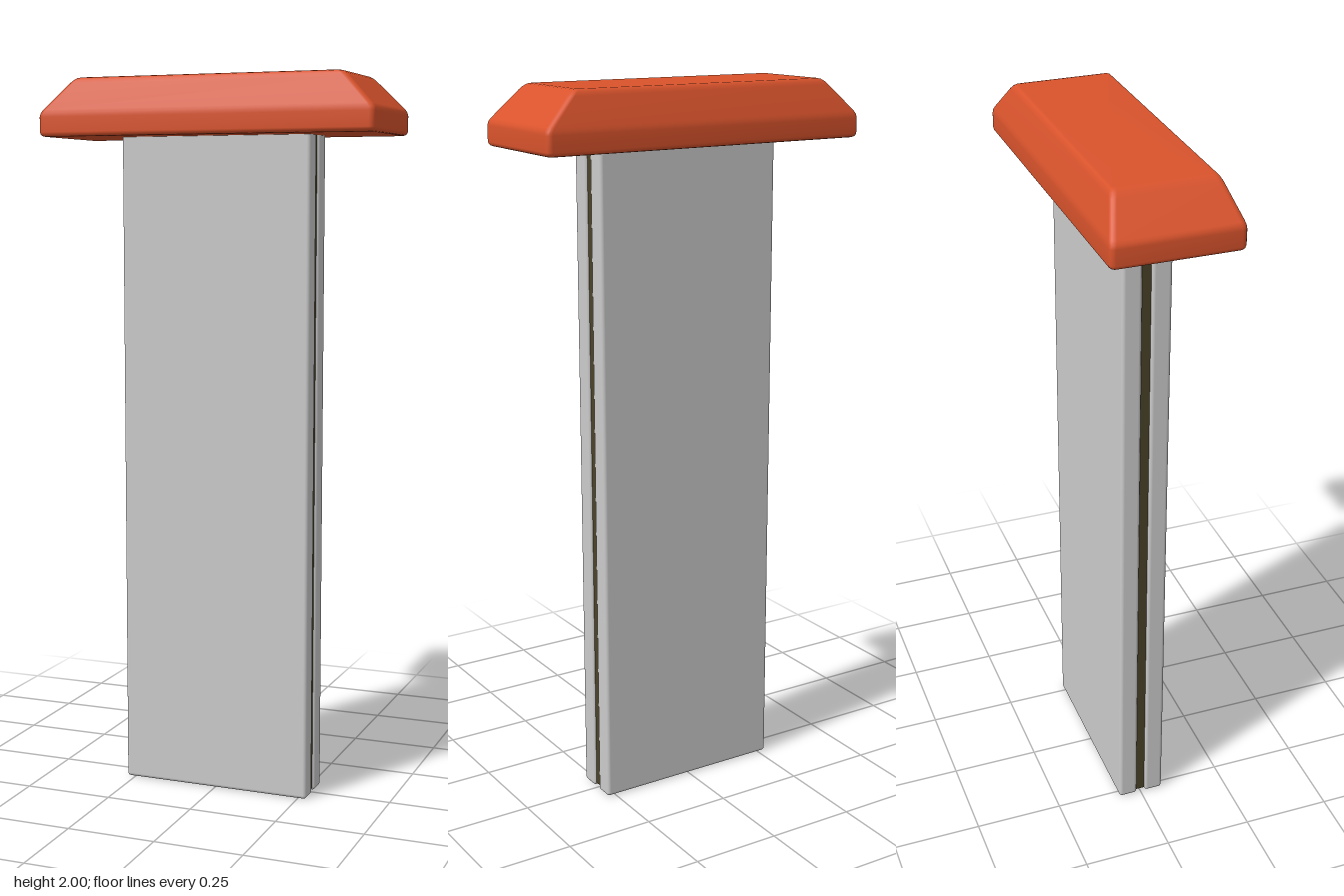
import * as THREE from 'three';
import { RoundedBoxGeometry } from 'three/addons/geometries/RoundedBoxGeometry.js';

// Closed solid lofted through rounded rectangles: [y, halfX, halfZ, cornerRadius]
function loftRoundedRects(sections, cornerSteps = 4) {
  const positions = [], index = [];
  const n = 4 * (cornerSteps + 1);
  for (const [y, hx, hz, r] of sections) {
    for (let c = 0; c < 4; c++) {
      const sx = c === 0 || c === 3 ? 1 : -1, sz = c < 2 ? 1 : -1;
      for (let k = 0; k <= cornerSteps; k++) {
        const a = (c + k / cornerSteps) * Math.PI / 2;
        positions.push(sx * (hx - r) + r * Math.cos(a), y, sz * (hz - r) + r * Math.sin(a));
      }
    }
  }
  for (let i = 0; i < sections.length - 1; i++) {
    for (let j = 0; j < n; j++) {
      const a = i * n + j, b = i * n + (j + 1) % n;
      index.push(a, a + n, b, b, a + n, b + n);
    }
  }
  // Flat ends
  const last = (sections.length - 1) * n, bottom = sections.length * n, top = bottom + 1;
  positions.push(0, sections[0][0], 0, 0, sections[sections.length - 1][0], 0);
  for (let j = 0; j < n; j++) {
    const k = (j + 1) % n;
    index.push(bottom, j, k, top, last + k, last + j);
  }
  const geometry = new THREE.BufferGeometry();
  geometry.setAttribute('position', new THREE.Float32BufferAttribute(positions, 3));
  geometry.setIndex(index);
  geometry.computeVertexNormals();
  return geometry;
}

export function createModel() {
  const model = new THREE.Group();
  model.name = 'cappedPost';
  const grey = new THREE.MeshStandardMaterial({ color: 0xcccccc });
  const orange = new THREE.MeshStandardMaterial({ color: 0xd9532c });
  const dark = new THREE.MeshStandardMaterial({ color: 0x4a4228 });

  const add = (name, geometry, material, y = 0, z = 0) => {
    const mesh = new THREE.Mesh(geometry, material);
    mesh.name = name;
    mesh.position.set(0, y, z);
    model.add(mesh);
  };

  // Two soft-edged plates with a thin core between them
  const height = 1.85, thickness = 0.055;
  for (const [name, side] of [['frontPlate', 1], ['backPlate', -1]]) {
    add(name, new RoundedBoxGeometry(0.55, height, thickness, 3, 0.01), grey, height / 2, side * 0.0395);
  }
  add('core', new THREE.BoxGeometry(0.535, height - 0.008, 0.028), dark, height / 2 + 0.004);

  // Cap with short upright walls, sloping shoulders and a flat top
  add('cap', loftRoundedRects([
    [1.84, 0.468, 0.160, 0.008],
    [1.842, 0.474, 0.166, 0.011],
    [1.846, 0.478, 0.170, 0.014],
    [1.852, 0.48, 0.172, 0.015],
    [1.893, 0.48, 0.172, 0.015],
    [1.903, 0.478, 0.1705, 0.015],
    [1.912, 0.472, 0.168, 0.015],
    [1.983, 0.402, 0.143, 0.015],
    [1.992, 0.392, 0.138, 0.014],
    [1.998, 0.382, 0.133, 0.012],
    [2.0, 0.372, 0.126, 0.01],
  ]), orange);

  return model;
}
